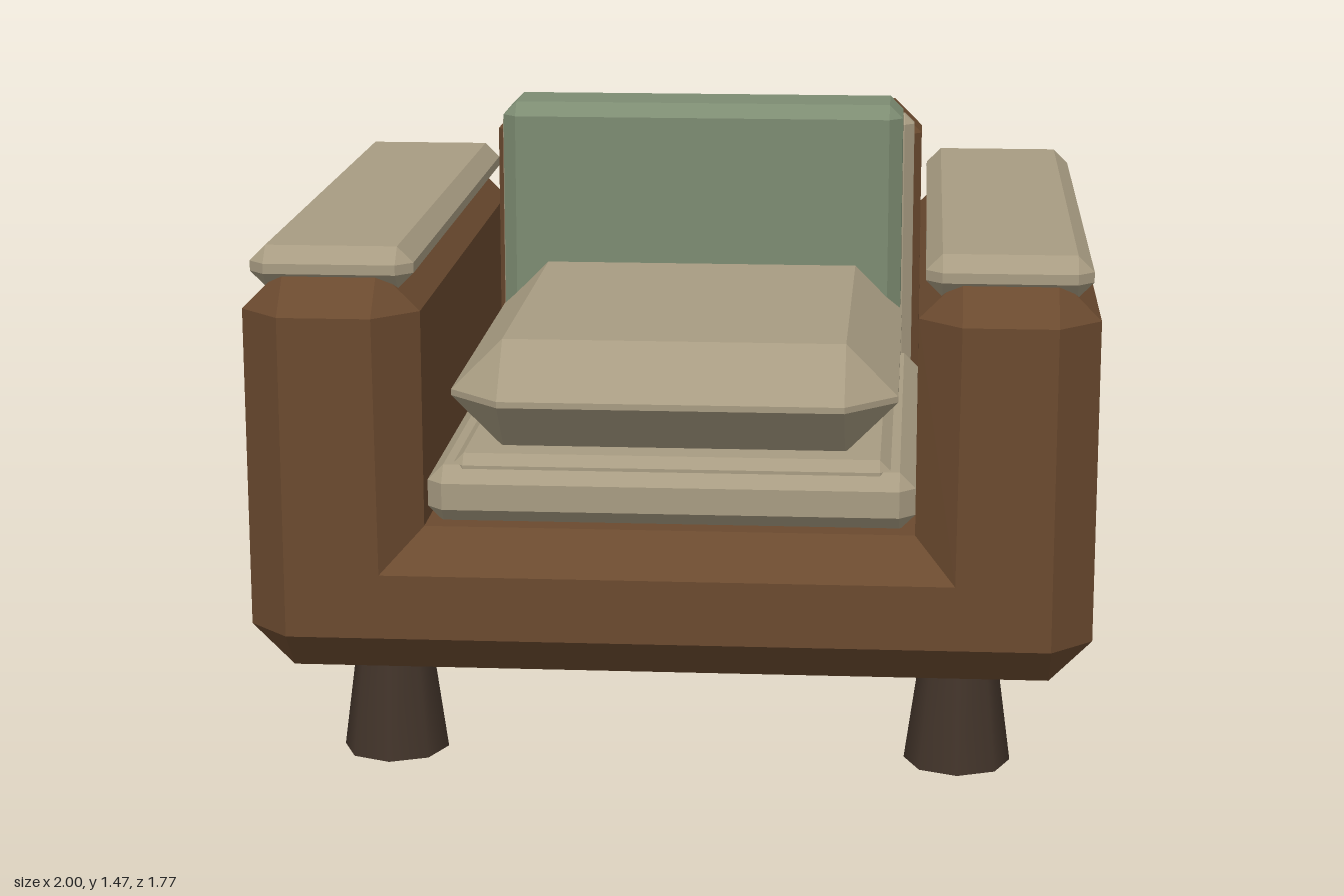
import * as THREE from 'three';
import { ConvexGeometry } from 'three/addons/geometries/ConvexGeometry.js';

const material = (color, flatShading = true) => new THREE.MeshStandardMaterial({ color, flatShading, roughness: 0.9 });

// Box between two corners with every edge cut by a single chamfer c
function chamferBox(min, max, c) {
  const points = [];
  for (const x of [0, 1]) for (const y of [0, 1]) for (const z of [0, 1]) {
    const side = [x, y, z];
    for (let axis = 0; axis < 3; axis++) {
      const p = side.map((s, i) => (s ? max[i] : min[i]) + (i === axis ? 0 : s ? -c : c));
      points.push(new THREE.Vector3(...p));
    }
  }
  return new ConvexGeometry(points);
}

// U-shaped body: [x, y] of the full section, then [x, y] of the inset end face
function frameGeometry() {
  const half = [
    [0.9, 0.27, 0.9, 0.37], [1, 0.37, 0.9, 0.37],
    [1, 1.14, 0.9, 1.14], [0.9, 1.24, 0.9, 1.14],
    [0.68, 1.24, 0.68, 1.14], [0.58, 1.14, 0.68, 1.14],
    [0.58, 0.62, 0.675, 0.525],
  ];
  const outline = [...half, ...half.map(([a, b, c, d]) => [-a, b, -c, d]).reverse()];
  const section = (z, k) => outline.map((p) => new THREE.Vector3(p[k], p[k + 1], z));
  const loops = [section(-0.885, 2), section(-0.785, 0), section(0.785, 0), section(0.885, 2)];
  const vertices = [];
  const triangle = (a, b, c) => {
    if (new THREE.Triangle(a, b, c).getArea() > 1e-6) vertices.push(a, b, c);
  };
  // Walls and chamfers
  for (let k = 0; k < 3; k++) {
    const lo = loops[k], hi = loops[k + 1];
    for (let i = 0; i < lo.length; i++) {
      const j = (i + 1) % lo.length;
      triangle(lo[i], lo[j], hi[j]);
      triangle(lo[i], hi[j], hi[i]);
    }
  }
  // Front and back faces
  const unique = (loop) => loop.filter((p, i) => i === 0 || p.distanceTo(loop[i - 1]) > 1e-4);
  const back = unique(loops[0]), front = unique(loops[3]);
  const flat = front.map((p) => new THREE.Vector2(p.x, p.y));
  for (const [a, b, c] of THREE.ShapeUtils.triangulateShape(flat, [])) {
    triangle(front[a], front[b], front[c]);
    triangle(back[a], back[c], back[b]);
  }
  const geometry = new THREE.BufferGeometry().setFromPoints(vertices);
  geometry.computeVertexNormals();
  return geometry;
}

export function createModel() {
  const chair = new THREE.Group();
  chair.name = 'armchair';
  const wood = material(0x6b4a2f);
  const beige = material(0xa89c82);
  const green = material(0x7d8c72);
  const dark = material(0x42342a, false);

  const add = (name, geometry, mat) => {
    const mesh = new THREE.Mesh(geometry, mat);
    mesh.name = name;
    chair.add(mesh);
    return mesh;
  };

  // Body and backrest
  add('frame', frameGeometry(), wood);
  add('backrest', chamferBox([-0.58, 0.45, -0.865], [0.58, 1.425, -0.58], 0.075), wood);

  // Seat layers
  add('seatBase', chamferBox([-0.58, 0.615, -0.6], [0.58, 0.755, 0.76], 0.038), beige);
  add('seatLayer', chamferBox([-0.52, 0.66, -0.58], [0.52, 0.78, 0.73], 0.025), beige);
  add('seatCushion', chamferBox([-0.535, 0.775, -0.57], [0.535, 1.04, 0.745], 0.125), beige);

  // Back cushions
  add('backPad', chamferBox([-0.56, 0.65, -0.645], [0.56, 1.41, -0.565], 0.026), beige);
  add('backCushion', chamferBox([-0.53, 0.775, -0.585], [0.53, 1.465, -0.34], 0.035), green);

  // Arm pads
  for (const [name, x] of [['leftArmPad', 0.788], ['rightArmPad', -0.788]]) {
    add(name, chamferBox([x - 0.193, 1.19, -0.805], [x + 0.193, 1.29, 0.81], 0.038), beige);
  }

  // Tapered legs
  const leg = new THREE.CylinderGeometry(0.088, 0.129, 0.3, 8);
  for (const [sideName, x] of [['Left', 0.69], ['Right', -0.69]]) {
    for (const [endName, z] of [['front', 0.585], ['back', -0.57]]) {
      add(`${endName}${sideName}Leg`, leg, dark).position.set(x, 0.15, z);
    }
  }
  return chair;
}
